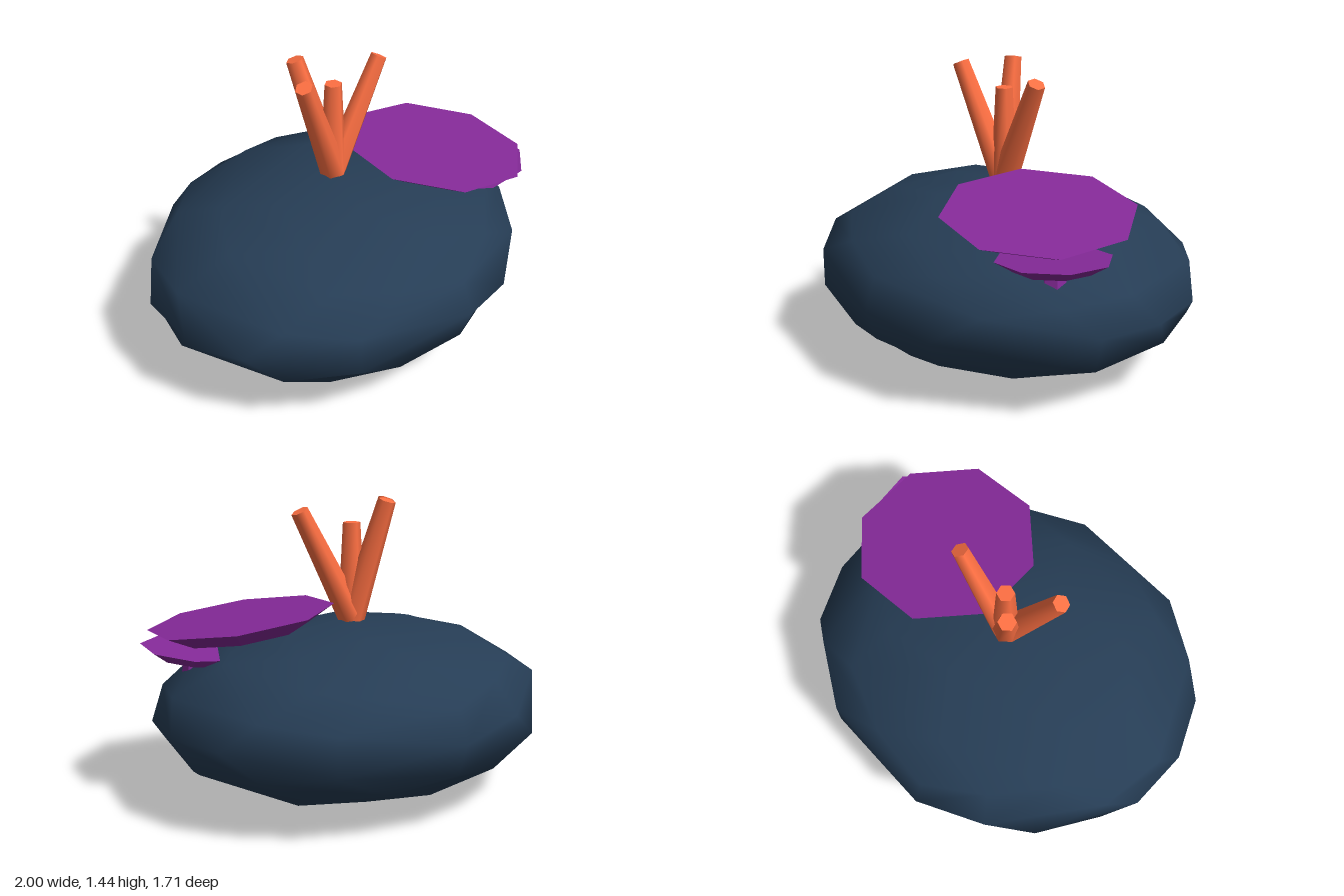
import * as THREE from 'three';

const UP = new THREE.Vector3(0, 1, 0);

export function createModel() {
  const model = new THREE.Group();
  model.name = 'coralRock';

  const rockMat = new THREE.MeshStandardMaterial({ color: 0x263d55 });
  const branchMat = new THREE.MeshStandardMaterial({ color: 0xff7043 });
  const plateMat = new THREE.MeshStandardMaterial({ color: 0x862a9a, flatShading: true });

  const add = (name, geometry, material, parent = model) => {
    const mesh = new THREE.Mesh(geometry, material);
    mesh.name = name;
    parent.add(mesh);
    return mesh;
  };

  // Squashed boulder
  const rock = add('rock', new THREE.DodecahedronGeometry(1, 1), rockMat);
  rock.scale.set(1, 0.4275, 0.855);
  rock.position.y = 0.4275;

  // Branching coral: tapered six-sided stalks fanning from one root
  const branches = new THREE.Group();
  branches.name = 'branchCoral';
  model.add(branches);
  const root = new THREE.Vector3(0, 0.86, 0);
  const tips = [[0, 1.32, 0], [-0.25, 1.41, 0.05], [0.265, 1.385, 0.05], [-0.097, 1.43, -0.15]];
  for (const tip of tips) {
    const axis = new THREE.Vector3(...tip).sub(root);
    const length = axis.length();
    const stalk = add('branch', new THREE.CylinderGeometry(0.042, 0.066, length, 6), branchMat, branches);
    stalk.position.copy(root).addScaledVector(axis, 0.5);
    stalk.quaternion.setFromUnitVectors(UP, axis.normalize());
  }

  // Plate corals: tilted eight-sided discs that narrow downwards, each on a short stem
  const plates = [
    { name: 'largePlate', top: [0.48, 0.88, 0.24], normal: [0.11, 1, 0.08], r: 0.45, low: 0.31, h: 0.075, yaw: 0.2 },
    { name: 'smallPlate', top: [0.67, 0.735, 0.34], normal: [-0.08, 1, -0.07], r: 0.265, low: 0.18, h: 0.05, yaw: 0.25 },
  ];
  for (const p of plates) {
    const coral = new THREE.Group();
    coral.name = p.name;
    coral.position.set(...p.top);
    coral.quaternion.setFromUnitVectors(UP, new THREE.Vector3(...p.normal).normalize());
    model.add(coral);
    const disc = add('plate', new THREE.CylinderGeometry(p.r, p.low, p.h, 8), plateMat, coral);
    disc.position.y = -p.h / 2;
    disc.rotation.y = p.yaw;
    const stem = add('plateStem', new THREE.CylinderGeometry(0.055, 0.06, 0.12, 6), plateMat, coral);
    stem.position.y = -p.h - 0.05;
  }
  return model;
}
